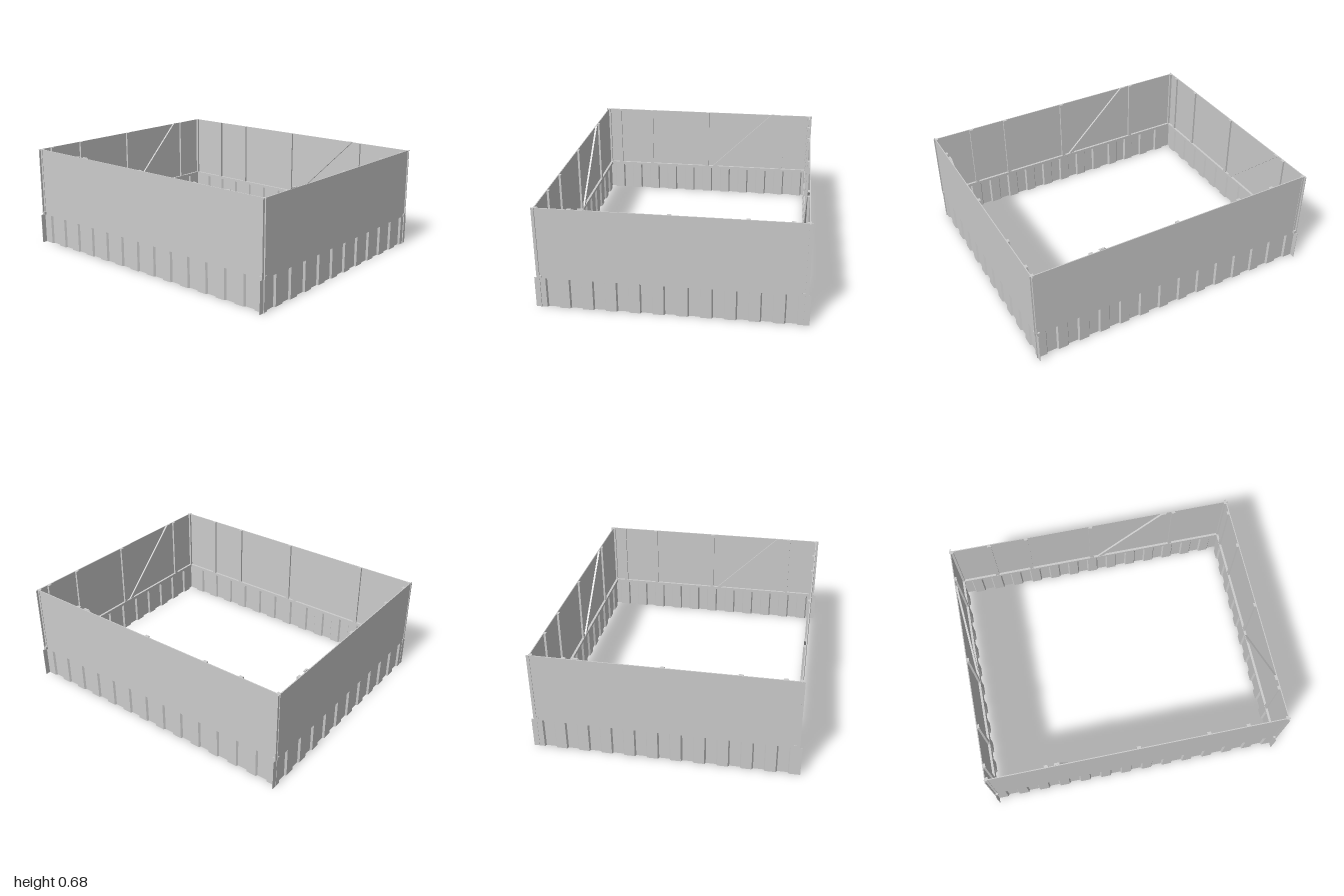
import * as THREE from 'three';

const material = new THREE.MeshStandardMaterial({ color: 0xcccccc, flatShading: true });

const SKIRT_TOP = 0.205, RAIL_TOP = 0.225, WALL_TOP = 0.678;
const PITCH = 0.0735; // width of one flat of the corrugated skirt

function box(name, w, h, d, x, y, z) {
  const mesh = new THREE.Mesh(new THREE.BoxGeometry(w, h, d), material);
  mesh.name = name;
  mesh.position.set(x, y, z);
  return mesh;
}

// Thin folded sheet with alternating outer and inner flats
function corrugatedSkirt(flats) {
  const amp = 0.0065, slope = 0.004, t = 0.0015;
  const start = -flats * PITCH / 2;
  const line = [];
  for (let i = 0; i < flats; i++) {
    const v = i % 2 === 0 ? -amp : amp;
    const a = start + i * PITCH;
    line.push([a + (i > 0 ? slope : 0), v], [a + PITCH - (i < flats - 1 ? slope : 0), v]);
  }
  const outline = [
    ...line.map(([u, v]) => new THREE.Vector2(u, v - t)),
    ...line.reverse().map(([u, v]) => new THREE.Vector2(u, v + t)),
  ];
  const geometry = new THREE.ExtrudeGeometry(new THREE.Shape(outline), {
    depth: SKIRT_TOP, bevelEnabled: false,
  });
  geometry.rotateX(-Math.PI / 2);
  const mesh = new THREE.Mesh(geometry, material);
  mesh.name = 'corrugatedSkirt';
  return mesh;
}

// One wall: runs along local x, its outside faces local +z
function createWall(name, length, flats) {
  const wall = new THREE.Group();
  wall.name = name;
  const postHeight = WALL_TOP - SKIRT_TOP;
  const midY = (WALL_TOP + SKIRT_TOP) / 2;

  wall.add(corrugatedSkirt(flats));
  wall.add(box('bottomRail', length, RAIL_TOP - SKIRT_TOP, 0.022, 0, (RAIL_TOP + SKIRT_TOP) / 2, 0));
  wall.add(box('panel', length, WALL_TOP - RAIL_TOP, 0.006, 0, (WALL_TOP + RAIL_TOP) / 2, 0.008));

  // Upright battens on the inside
  for (const u of [0.72, 0.46, 0, -0.6]) {
    wall.add(box('post', 0.026, postHeight, 0.014, u, midY, -0.002));
  }
  // Slender battens at the corners
  for (const side of [-1, 1]) {
    wall.add(box('cornerPost', 0.016, postHeight, 0.014, side * (length / 2 - 0.02), midY, -0.002));
  }

  // Slanted brace, cut level with the rail and the top edge
  const h = 0.018, low = -0.065, high = -0.53, top = WALL_TOP + 0.004;
  const brace = new THREE.Shape([
    new THREE.Vector2(low - h, RAIL_TOP), new THREE.Vector2(low + h, RAIL_TOP),
    new THREE.Vector2(high + h, top), new THREE.Vector2(high - h, top),
  ]);
  const braceMesh = new THREE.Mesh(
    new THREE.ExtrudeGeometry(brace, { depth: 0.013, bevelEnabled: false }), material);
  braceMesh.name = 'diagonalBrace';
  braceMesh.position.z = -0.008;
  wall.add(braceMesh);
  return wall;
}

export function createModel() {
  const model = new THREE.Group();
  model.name = 'hoarding';
  const walls = [
    ['frontWall', 1.994, 27, 0, 0.804],
    ['rightWall', 1.66, 23, -Math.PI / 2, 0.982],
    ['backWall', 1.994, 27, Math.PI, 0.804],
    ['leftWall', 1.66, 23, Math.PI / 2, 0.978],
  ];
  for (const [name, length, flats, angle, distance] of walls) {
    const wall = createWall(name, length, flats);
    wall.rotation.y = angle;
    wall.position.set(Math.sin(angle) * distance, 0, Math.cos(angle) * distance);
    model.add(wall);
  }
  return model;
}
